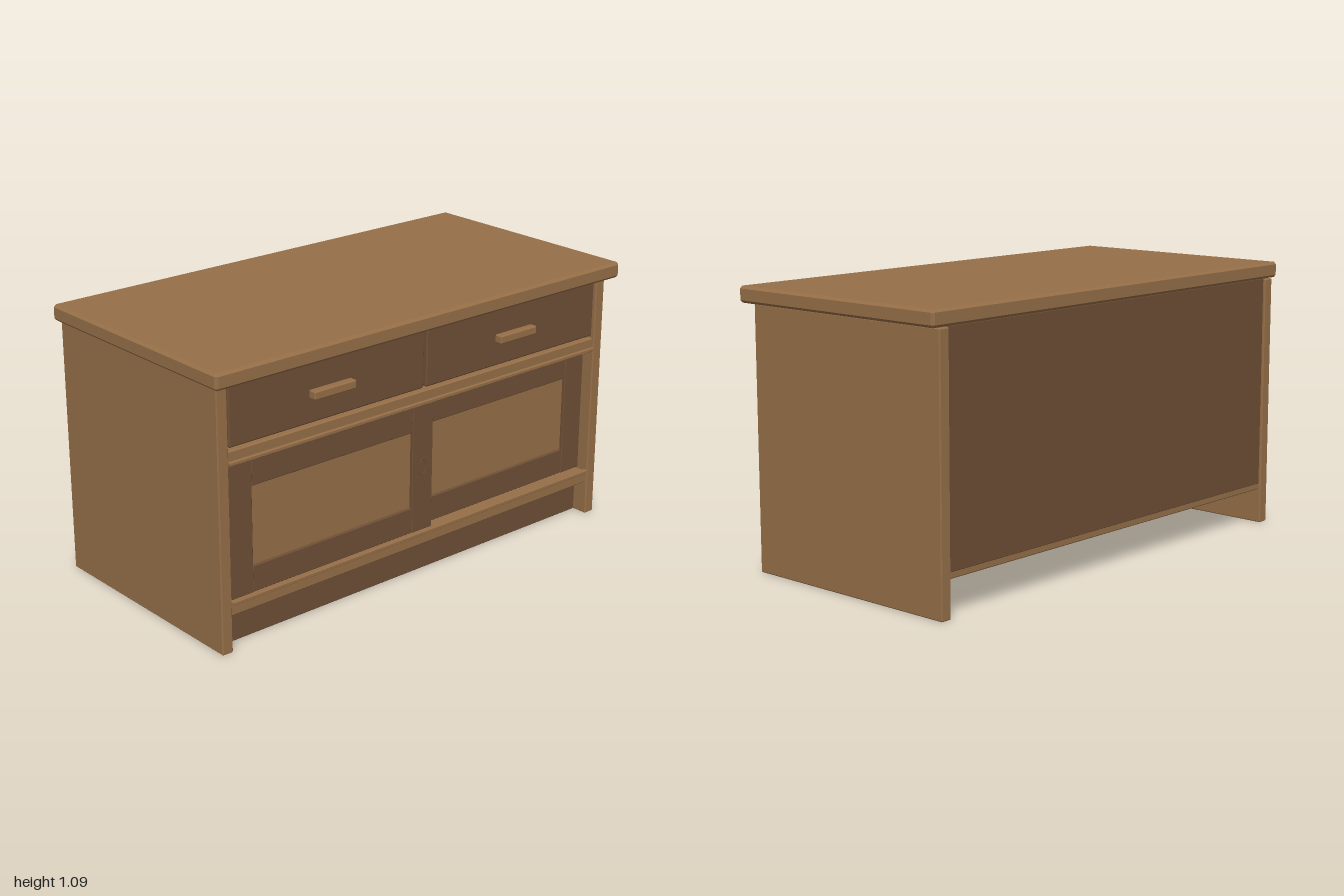
import * as THREE from 'three';
import { ConvexGeometry } from 'three/addons/geometries/ConvexGeometry.js';

const lightWood = new THREE.MeshStandardMaterial({ color: 0x966f48 });
lightWood.name = 'lightWood';
const darkWood = new THREE.MeshStandardMaterial({ color: 0x6f4f36 });
darkWood.name = 'darkWood';

// Box with flat chamfered edges
function chamferBox(w, h, d, c) {
  const half = [w / 2, h / 2, d / 2];
  const points = [];
  for (const sx of [-1, 1]) for (const sy of [-1, 1]) for (const sz of [-1, 1]) {
    const signs = [sx, sy, sz];
    for (let axis = 0; axis < 3; axis++) {
      points.push(new THREE.Vector3(...signs.map((s, i) => s * (half[i] - (i === axis ? 0 : c)))));
    }
  }
  return new ConvexGeometry(points);
}

export function createModel() {
  const cabinet = new THREE.Group();
  cabinet.name = 'cabinet';

  // Board given by its limits on each axis
  function board(name, material, [x0, x1], [y0, y1], [z0, z1], chamfer = 0.004, parent = cabinet) {
    const mesh = new THREE.Mesh(chamferBox(x1 - x0, y1 - y0, z1 - z0, chamfer), material);
    mesh.position.set((x0 + x1) / 2, (y0 + y1) / 2, (z0 + z1) / 2);
    mesh.name = name;
    parent.add(mesh);
    return mesh;
  }

  // Carcass
  board('tabletop', lightWood, [-1, 1], [1.022, 1.085], [-0.502, 0.502], 0.01);
  for (const [side, s] of [['left', 1], ['right', -1]]) {
    const x = [s * 0.92, s * 0.967].sort((a, b) => a - b);
    board(`${side}Side`, lightWood, x, [0, 1.02], [-0.5, 0.455]);
  }
  board('backPanel', darkWood, [-0.922, 0.922], [0.165, 1.022], [-0.49, -0.47], 0.002);
  board('floor', lightWood, [-0.922, 0.922], [0.14, 0.19], [-0.488, 0.448]);
  board('middleShelf', lightWood, [-0.922, 0.922], [0.717, 0.77], [-0.47, 0.448]);
  board('plinth', darkWood, [-0.922, 0.922], [0, 0.142], [0.36, 0.39]);
  board('drawerDivider', darkWood, [-0.02, 0.02], [0.768, 1.022], [-0.47, 0.42]);

  // Door tracks along the shelf edges
  board('upperTrack', lightWood, [-0.918, 0.918], [0.718, 0.732], [0.44, 0.46], 0.002);
  board('lowerTrack', lightWood, [-0.918, 0.918], [0.184, 0.198], [0.44, 0.46], 0.002);

  // Drawers with bar handles
  for (const [side, s] of [['left', 1], ['right', -1]]) {
    const drawer = new THREE.Group();
    drawer.name = `${side}Drawer`;
    drawer.position.x = s * 0.46;
    cabinet.add(drawer);
    board('drawerFront', darkWood, [-0.453, 0.453], [0.782, 1.008], [0.415, 0.45], 0.005, drawer);
    board('drawerHandle', lightWood, [-0.097, 0.097], [0.877, 0.91], [0.448, 0.482], 0.004, drawer);
  }

  // Sliding doors, one running behind the other
  function door(name, x0, x1, front) {
    const group = new THREE.Group();
    group.name = name;
    cabinet.add(group);
    const z = [front - 0.03, front];
    const stile = 0.103;
    board('outerStile', darkWood, [x0, x0 + stile], [0.198, 0.712], z, 0.003, group);
    board('innerStile', darkWood, [x1 - stile, x1], [0.198, 0.712], z, 0.003, group);
    const span = [x0 + stile, x1 - stile];
    board('topRail', darkWood, span, [0.61, 0.712], [front - 0.03, front - 0.002], 0.003, group);
    board('bottomRail', darkWood, span, [0.198, 0.302], [front - 0.03, front - 0.002], 0.003, group);
    board('doorPanel', lightWood, span, [0.295, 0.615], [front - 0.022, front - 0.012], 0.002, group);
  }
  door('rightDoor', -0.915, 0.053, 0.442);
  door('leftDoor', -0.053, 0.915, 0.408);

  // Oval finger pull on the front door
  const pull = new THREE.Mesh(new THREE.TorusGeometry(0.018, 0.002, 6, 24), darkWood);
  pull.name = 'fingerPull';
  pull.scale.y = 1.75;
  pull.position.set(0.002, 0.46, 0.442);
  cabinet.add(pull);

  return cabinet;
}
